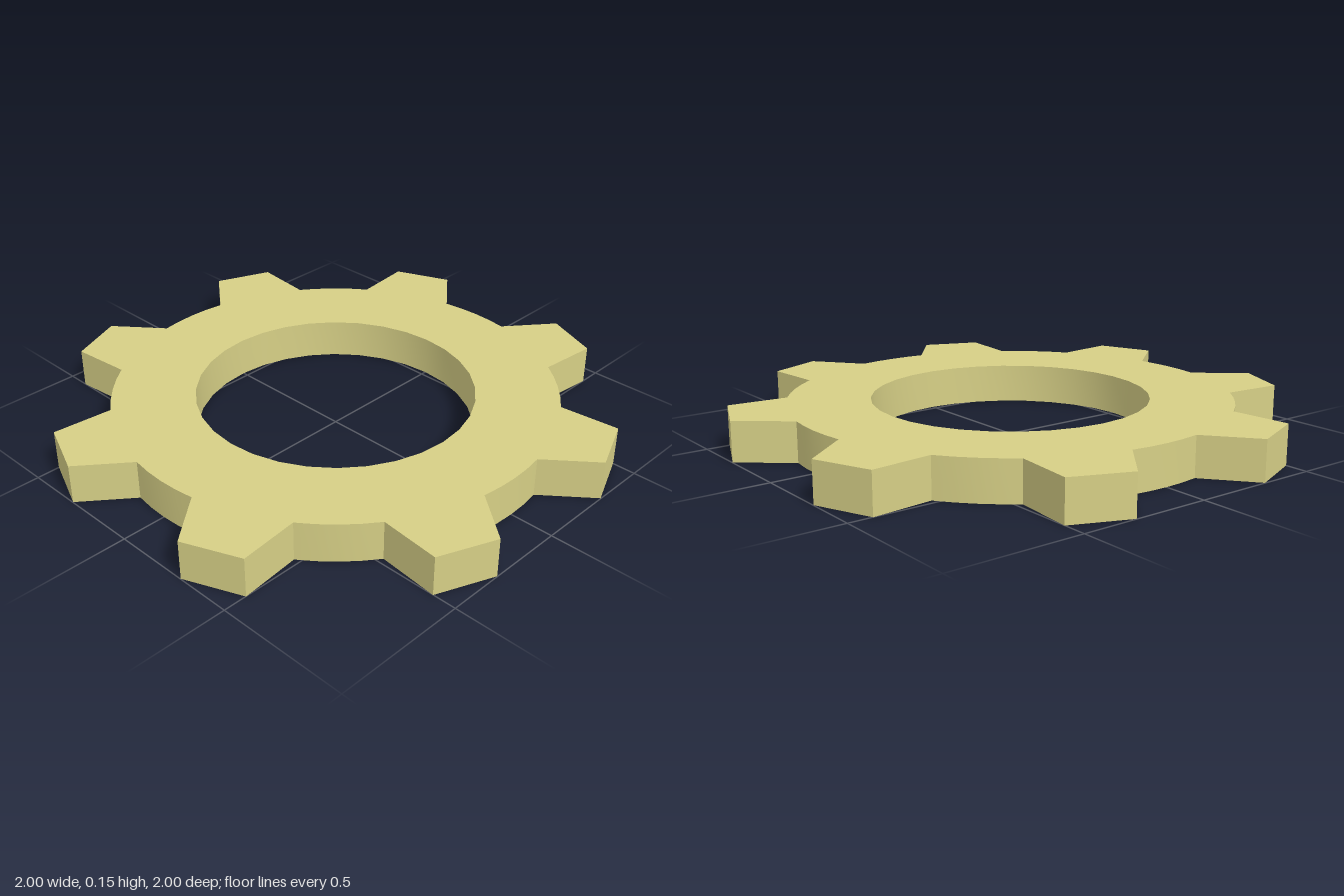
import * as THREE from 'three';
import { toCreasedNormals } from 'three/addons/utils/BufferGeometryUtils.js';

const TEETH = 8, HEIGHT = 0.15;
const TIP_R = 1.04, ROOT_R = 0.833, HOLE_R = 0.522;
const TIP_HALF = THREE.MathUtils.degToRad(6.3);   // half angle of a tooth tip
const ROOT_HALF = THREE.MathUtils.degToRad(12.5); // half angle of a tooth base
const VALLEY_STEPS = 4, HOLE_SIDES = 32;

const polar = (r, a) => new THREE.Vector2(r * Math.cos(a), r * Math.sin(a));

// Outline: two tip corners per tooth, then the curved valley to the next tooth
function gearOutline() {
  const points = [];
  const pitch = (Math.PI * 2) / TEETH;
  for (let i = 0; i < TEETH; i++) {
    const a = (i + 0.5) * pitch;
    points.push(polar(TIP_R, a - TIP_HALF), polar(TIP_R, a + TIP_HALF));
    const valley = pitch - 2 * ROOT_HALF;
    for (let j = 0; j <= VALLEY_STEPS; j++) {
      points.push(polar(ROOT_R, a + ROOT_HALF + (valley * j) / VALLEY_STEPS));
    }
  }
  return points;
}

export function createModel() {
  const group = new THREE.Group();
  group.name = 'gear';

  // Flat toothed ring with a round centre hole
  const shape = new THREE.Shape(gearOutline());
  const hole = [];
  for (let i = 0; i < HOLE_SIDES; i++) hole.push(polar(HOLE_R, (-i / HOLE_SIDES) * Math.PI * 2));
  shape.holes.push(new THREE.Path(hole));

  const extruded = new THREE.ExtrudeGeometry(shape, { depth: HEIGHT, bevelEnabled: false });
  extruded.rotateX(-Math.PI / 2);

  // Smooth hole and valleys, sharp tooth edges
  const geometry = toCreasedNormals(extruded, THREE.MathUtils.degToRad(25));
  const ring = new THREE.Mesh(geometry, new THREE.MeshStandardMaterial({ color: 0xd6cf86 }));
  ring.name = 'toothedRing';
  group.add(ring);
  return group;
}
